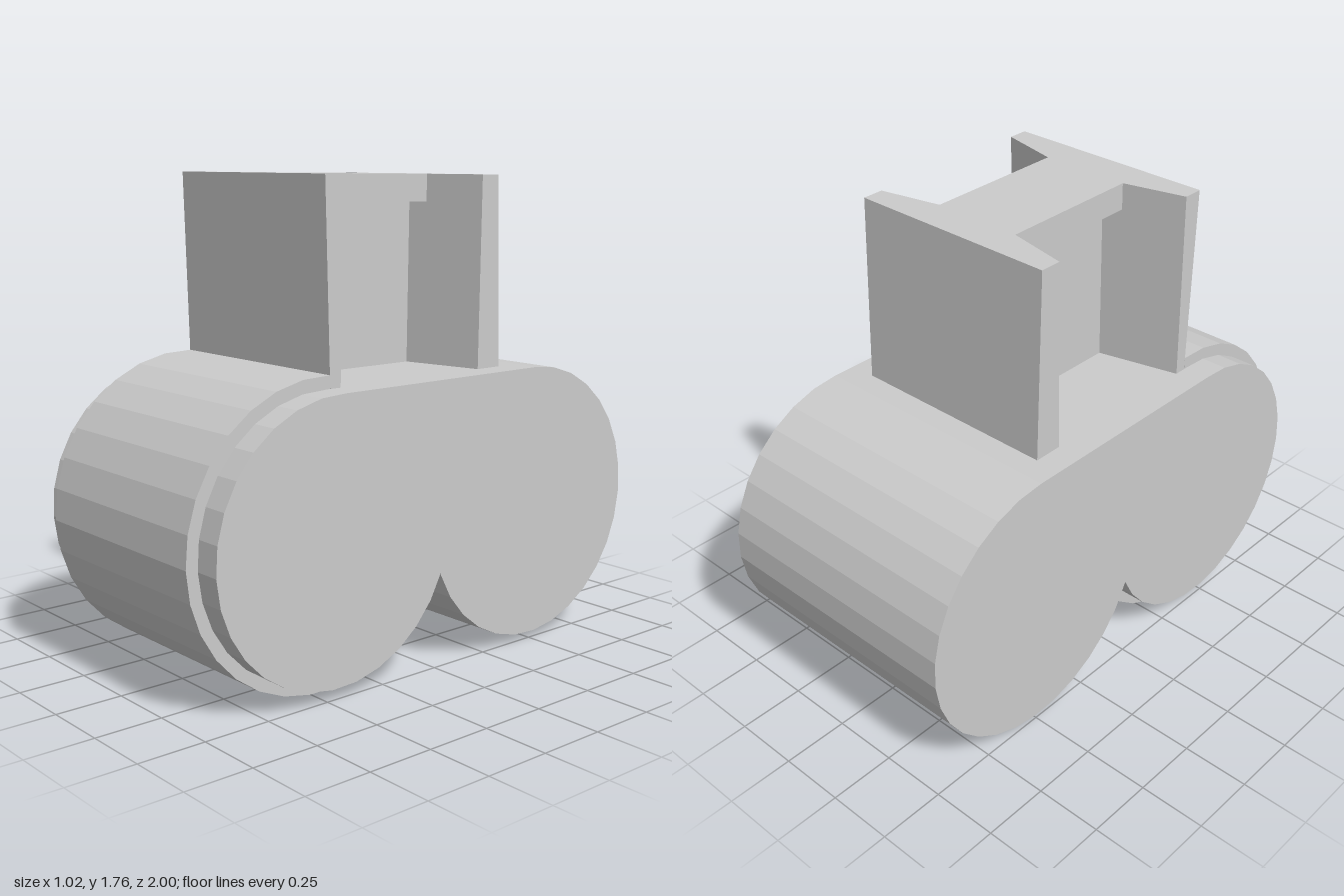
import * as THREE from 'three';

const material = new THREE.MeshStandardMaterial({ color: 0xcccccc, flatShading: true });
const rad = THREE.MathUtils.degToRad;

// Points on a circle (z, y), going from one angle to another in about 12 degree steps
function arc(cz, cy, r, from, to) {
  const n = Math.round(Math.abs(to - from) / 12);
  return Array.from({ length: n + 1 }, (_, i) => {
    const a = rad(from + ((to - from) * i) / n);
    return new THREE.Vector2(cz + r * Math.cos(a), cy + r * Math.sin(a));
  });
}

// Extrudes a side profile (z, y) across x, centred on x = 0
function sideways(name, points, width) {
  const geo = new THREE.ExtrudeGeometry(new THREE.Shape(points), { depth: width, bevelEnabled: false });
  geo.translate(0, 0, -width / 2).rotateY(-Math.PI / 2);
  const mesh = new THREE.Mesh(geo, material);
  mesh.name = name;
  return mesh;
}

// I-shaped column section between two heights; flanges taper and the top tilts slightly
function columnSection(name, webHalf, y0, y1) {
  const w = 0.41, front = 0.43, back = -0.38, frontTip = 0.355, backTip = -0.3;
  const frontRoot = frontTip - 0.234 * (w - webHalf);
  const backRoot = backTip + 0.213 * (w - webHalf);
  const half = [[w, front], [w, frontTip], [webHalf, frontRoot], [webHalf, backRoot], [w, backTip], [w, back]];
  const outline = [...half, ...half.map(([x, z]) => [-x, z]).reverse()];
  const shape = new THREE.Shape(outline.map(([x, z]) => new THREE.Vector2(x, -z)));
  const geo = new THREE.ExtrudeGeometry(shape, { depth: y1 - y0, bevelEnabled: false });
  geo.rotateX(-Math.PI / 2).translate(0, y0, 0);
  const p = geo.attributes.position;
  for (let i = 0; i < p.count; i++) {
    const y = p.getY(i), z = p.getZ(i);
    const down = (1.76 - y) / 0.72;
    const outer = z > 0.42 || z < -0.37;
    p.setZ(i, z + down * (outer ? -0.02 : 0.01));
    p.setY(i, y - 0.012 * (front - z));
  }
  geo.computeVertexNormals();
  const mesh = new THREE.Mesh(geo, material);
  mesh.name = name;
  return mesh;
}

export function createModel() {
  const model = new THREE.Group();
  model.name = 'doubleRollerMount';

  // Two-lobed body with a flat top and a notch below
  model.add(sideways('body', [
    ...arc(0.45, 0.548, 0.505, 93, -157.7),
    ...arc(-0.49, 0.54, 0.51, -22.1, -270),
  ], 1.02));

  // Raised band around the front lobe, running from the column to the notch
  model.add(sideways('frontBand', [
    ...arc(0.45, 0.55, 0.55, 94, -156),
    new THREE.Vector2(0.41, 0.6),
  ], 0.82));

  // Upright I-shaped column with a thicker web at the top
  const column = new THREE.Group();
  column.name = 'column';
  column.add(columnSection('columnShaft', 0.1, 1.0, 1.66));
  column.add(columnSection('columnCap', 0.175, 1.66, 1.76));
  model.add(column);

  return model;
}
